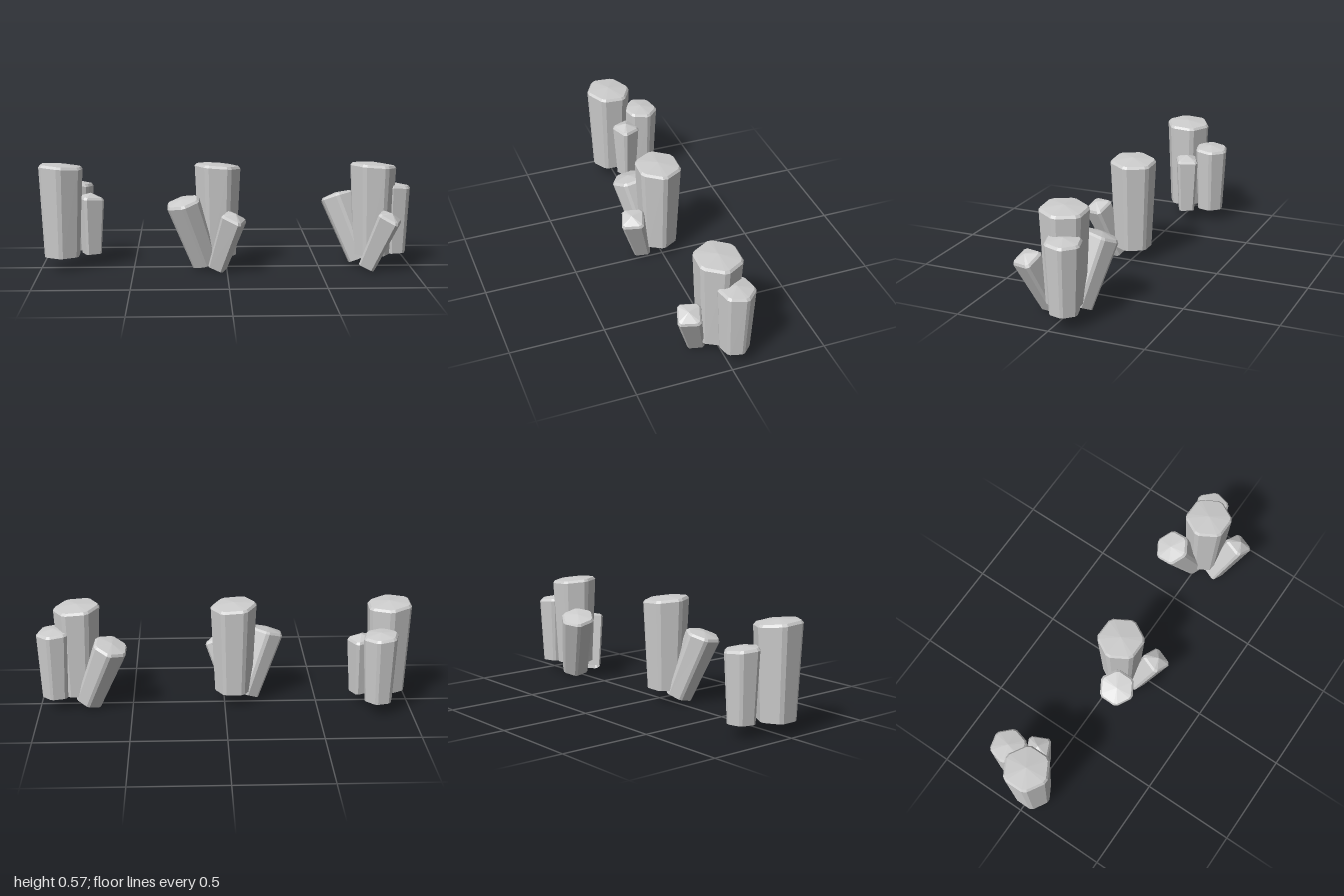
import * as THREE from 'three';

const material = new THREE.MeshStandardMaterial({ color: 0xcccccc, flatShading: true, side: THREE.DoubleSide });
const UP = new THREE.Vector3(0, 1, 0);

// Regular polygon outline with every corner cut off; angles run from +x towards +z
function outline(sides, radius, turn, cut) {
  const corner = i => {
    const a = turn + (i / sides) * Math.PI * 2;
    return new THREE.Vector2(Math.cos(a) * radius, Math.sin(a) * radius);
  };
  const points = [];
  for (let i = 0; i < sides; i++) {
    points.push(corner(i).lerp(corner(i - 1), cut), corner(i).lerp(corner(i + 1), cut));
  }
  return points;
}

// Open-bottomed crystal: flaring walls, a bevelled rim and a low, slightly tilted peak
function crystal(kind, turnDegrees, base, direction = [0, 1, 0]) {
  const { name, sides, radius, length, taper, rise } = kind;
  const points = outline(sides, radius, THREE.MathUtils.degToRad(turnDegrees), 0.12);
  const n = points.length;
  const rim = length - rise;
  const rings = [
    { scale: taper, y: 0, tilt: 0 },
    { scale: 1, y: rim - 0.013, tilt: 1 },
    { scale: 1 - 0.011 / radius, y: rim, tilt: 1 },
  ];
  const positions = [];
  const index = [];
  for (const { scale, y, tilt } of rings) {
    for (const p of points) {
      positions.push(p.x * scale, y + tilt * (0.05 * p.y - 0.07 * p.x), p.y * scale);
    }
  }
  positions.push(0, length, 0);
  for (let i = 0; i < n; i++) {
    const j = (i + 1) % n;
    for (let r = 0; r < rings.length - 1; r++) {
      const a = r * n, b = a + n;
      index.push(a + i, b + i, a + j, a + j, b + i, b + j);
    }
    const top = (rings.length - 1) * n;
    index.push(top + i, rings.length * n, top + j);
  }
  const indexed = new THREE.BufferGeometry();
  indexed.setAttribute('position', new THREE.Float32BufferAttribute(positions, 3));
  indexed.setIndex(index);
  const geometry = indexed.toNonIndexed();
  geometry.computeVertexNormals();

  const mesh = new THREE.Mesh(geometry, material);
  mesh.name = name;
  mesh.position.set(...base);
  mesh.quaternion.setFromUnitVectors(UP, new THREE.Vector3(...direction).normalize());
  return mesh;
}

const LARGE = { name: 'largeCrystal', sides: 6, radius: 0.13, length: 0.503, taper: 0.81, rise: 0.012 };
const MEDIUM = { name: 'mediumCrystal', sides: 6, radius: 0.1, length: 0.383, taper: 0.8, rise: 0.012 };
const SMALL = { name: 'smallCrystal', sides: 4, radius: 0.083, length: 0.333, taper: 0.74, rise: 0.022 };

function cluster(name, ...crystals) {
  const group = new THREE.Group();
  group.name = name;
  group.add(...crystals);
  return group;
}

export function createModel() {
  const model = new THREE.Group();
  model.name = 'crystalClusters';
  model.add(
    // Three upright crystals
    cluster('rightCluster',
      crystal(LARGE, 30, [-0.886, 0.073, 0.008]),
      crystal(MEDIUM, -15, [-0.82, 0.073, -0.165]),
      crystal(SMALL, 20, [-0.732, 0.073, -0.045])),
    // Upright crystal with two leaning outwards
    cluster('middleCluster',
      crystal(LARGE, 0, [-0.048, 0.073, 0.006]),
      crystal(MEDIUM, 30, [-0.117, 0.04, 0.035], [-0.118, 0.34, 0.072]),
      crystal(SMALL, -25, [-0.05, 0.023, 0.1], [0.085, 0.28, 0.08])),
    // Two upright crystals with two leaning outwards
    cluster('leftCluster',
      crystal(LARGE, 0, [0.79, 0.073, 0.006]),
      crystal(MEDIUM, -15, [0.91, 0.073, -0.045]),
      crystal(MEDIUM, 30, [0.737, 0.04, -0.035], [-0.133, 0.34, -0.07]),
      crystal(SMALL, -25, [0.757, 0.025, 0.1], [0.105, 0.28, 0.08])),
  );
  return model;
}
